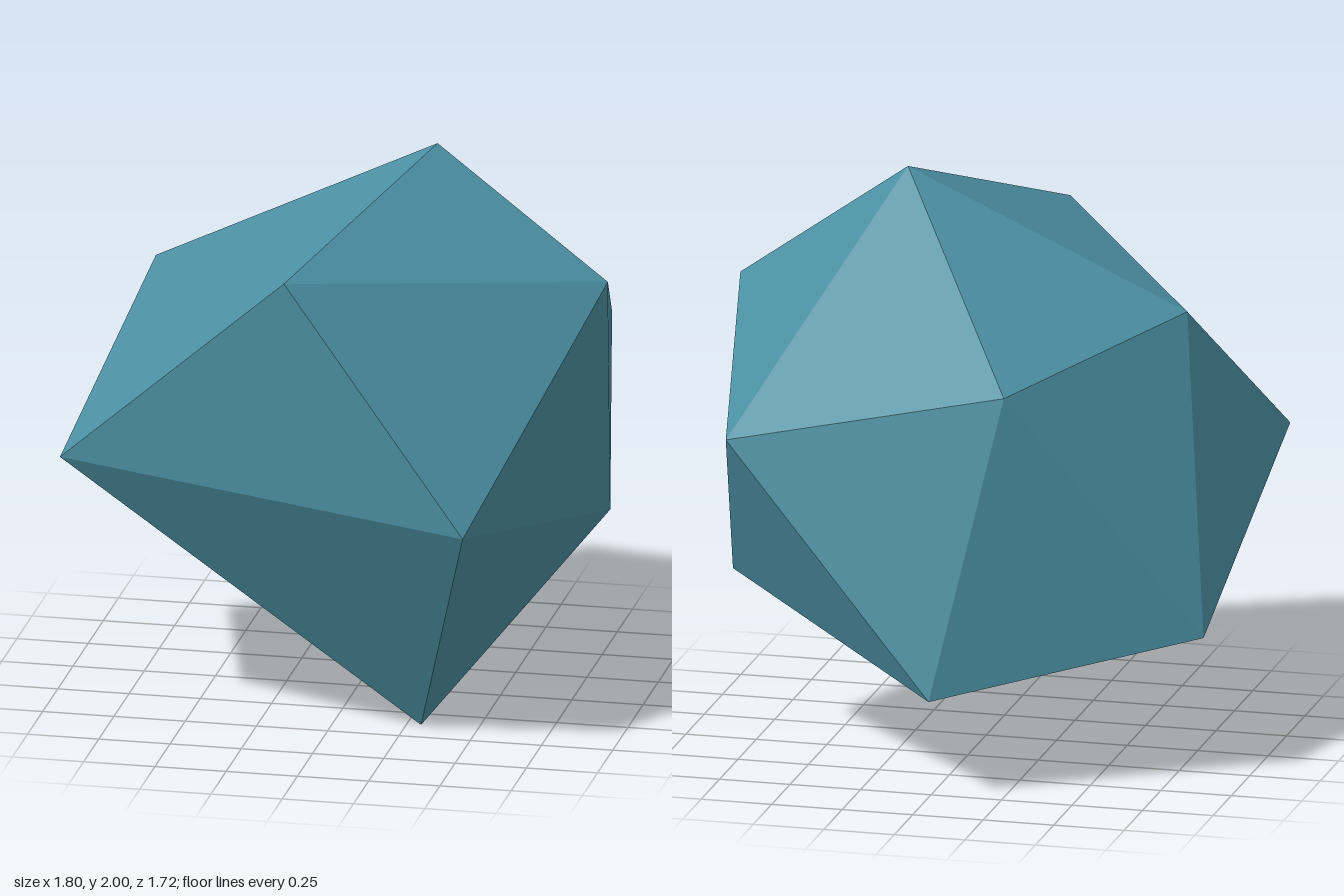
import * as THREE from 'three';

// A faceted stone: an irregular twenty-sided solid made of a top point,
// two staggered five-point rings and a bottom point.
export function createModel() {
  const model = new THREE.Group();
  model.name = 'facetedStone';

  const stone = new THREE.MeshStandardMaterial({ color: 0x4b8fa2 });
  stone.name = 'tealStone';
  stone.flatShading = true;

  const top = [0.29, 2, 0.05];
  const bottom = [0.3, 0, 0.37];
  // Rings run counter-clockwise seen from above; each lower point sits
  // between upper points i and i + 1.
  const upper = [[-0.09, 1.71, 0.8], [0.9, 1.56, 0.11], [0.75, 1.19, -0.665], [-0.24, 1.415, -0.68], [-0.69, 1.54, 0.09]];
  const lower = [[0.55, 0.85, 0.86], [0.83, 0.61, -0.26], [-0.02, 0.365, -0.86], [-0.87, 0.52, -0.38], [-0.9, 0.99, 0.685]];

  const corners = [];
  const face = (a, b, c) => corners.push(...a, ...b, ...c);
  for (let i = 0; i < 5; i++) {
    const j = (i + 1) % 5;
    face(top, upper[i], upper[j]); // cap
    face(upper[i], lower[i], upper[j]); // band, pointing down
    face(lower[i], lower[j], upper[j]); // band, pointing up
    face(bottom, lower[j], lower[i]); // base
  }

  const geometry = new THREE.BufferGeometry();
  geometry.setAttribute('position', new THREE.Float32BufferAttribute(corners, 3));
  geometry.computeVertexNormals();

  const body = new THREE.Mesh(geometry, stone);
  body.name = 'stoneBody';
  model.add(body);
  return model;
}
